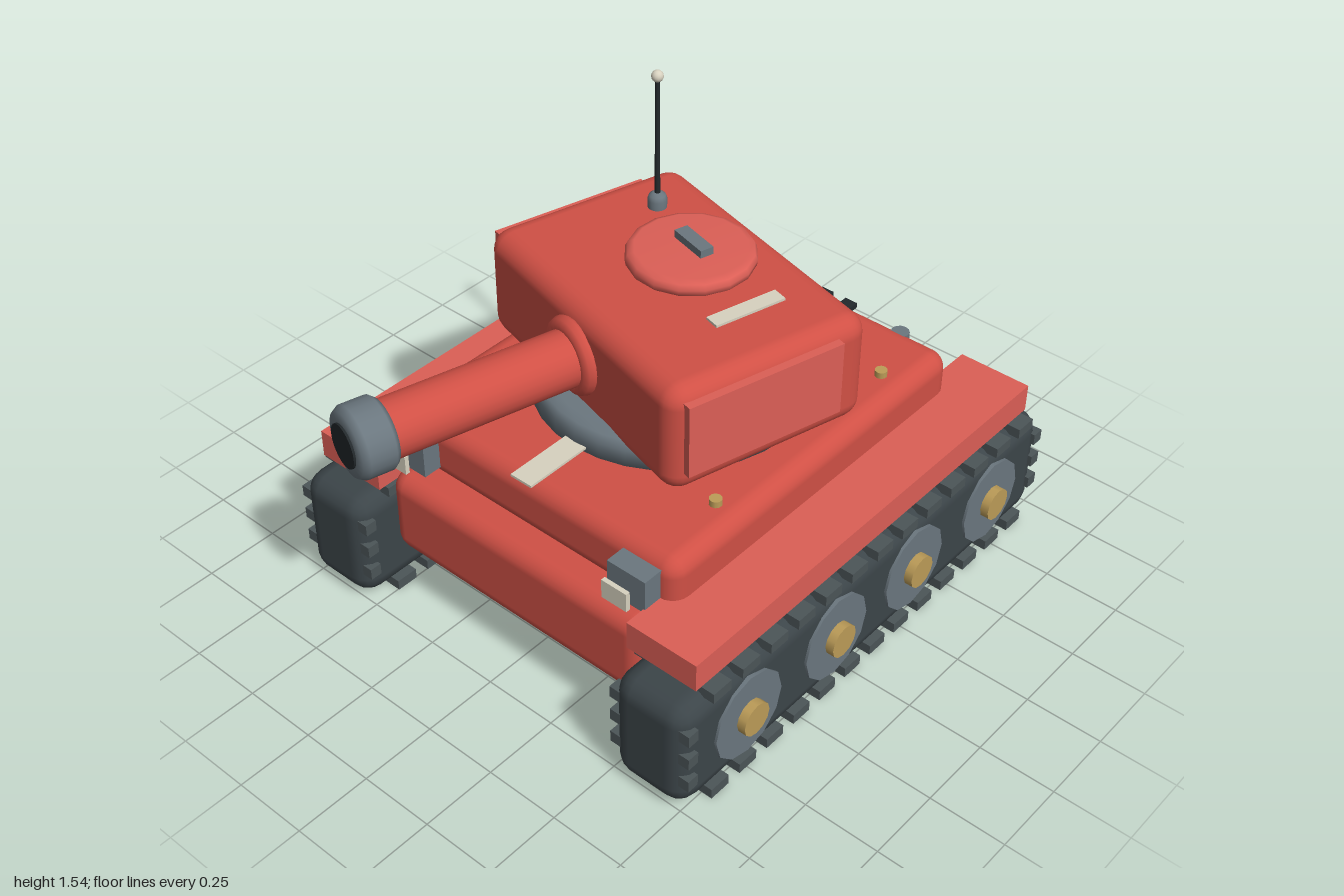
import * as THREE from 'three';
import { RoundedBoxGeometry } from 'three/addons/geometries/RoundedBoxGeometry.js';

const paint = (color) => new THREE.MeshStandardMaterial({ color });
const RED = paint(0xd05045), LIGHT_RED = paint(0xdc5f56), STEEL = paint(0x6b777f);
const TRACK = paint(0x3c4549), PAD = paint(0x4c5558), DARK = paint(0x23292c);
const GOLD = paint(0xbc9c58), CREAM = paint(0xd8d2c0);

function add(parent, name, geometry, material, x = 0, y = 0, z = 0) {
  const mesh = new THREE.Mesh(geometry, material);
  mesh.name = name;
  mesh.position.set(x, y, z);
  parent.add(mesh);
  return mesh;
}

const box = (w, h, d) => new THREE.BoxGeometry(w, h, d);
const rounded = (w, h, d, r) => new RoundedBoxGeometry(w, h, d, 3, r);
const cylinder = (r, h, n = 16, top = r) => new THREE.CylinderGeometry(top, r, h, n);
const lathe = (points, n) =>
  new THREE.LatheGeometry(points.map(([r, y]) => new THREE.Vector2(r, y)), n);

// One running gear unit; side is +1 for the left, -1 for the right
function buildTrack(side) {
  const track = new THREE.Group();
  track.name = side > 0 ? 'leftTrack' : 'rightTrack';
  const midX = side * 0.642, midZ = -0.11;

  add(track, 'trackBody', new RoundedBoxGeometry(0.27, 0.385, 1.77, 2, 0.07), TRACK, midX, 0.21, midZ);

  // Tread pads along the top and bottom runs
  for (let i = 0; i < 13; i++) {
    const z = 0.62 - i * 0.1245;
    add(track, 'topPad', box(0.29, 0.035, 0.075), PAD, midX, 0.403, z);
    add(track, 'bottomPad', box(0.29, 0.035, 0.075), PAD, midX, 0.0175, z);
  }
  // Tread pads set into both ends
  for (const z of [0.74, -0.96])
    for (const y of [0.135, 0.225, 0.315])
      add(track, 'endPad', box(0.29, 0.04, 0.04), PAD, midX, y, z);

  // Road wheels with hubs
  for (const z of [0.495, 0.09, -0.3, -0.71]) {
    add(track, 'wheel', cylinder(0.145, 0.05, 12), STEEL, side * 0.76, 0.21, z).rotation.z = Math.PI / 2;
    add(track, 'hub', cylinder(0.055, 0.06, 12), GOLD, side * 0.783, 0.21, z).rotation.z = Math.PI / 2;
  }

  add(track, 'fender', box(0.25, 0.095, 1.61), LIGHT_RED, side * 0.625, 0.482, -0.115);
  return track;
}

function buildHull() {
  const hull = new THREE.Group();
  hull.name = 'hull';
  add(hull, 'lowerHull', rounded(1.02, 0.295, 1.53, 0.06), RED, 0, 0.327, -0.115);
  add(hull, 'upperHull', rounded(1.12, 0.2, 1.315, 0.06), RED, 0, 0.567, -0.1);

  for (const side of [-1, 1]) {
    add(hull, 'headlight', box(0.14, 0.115, 0.08), STEEL, side * 0.436, 0.573, 0.58);
    add(hull, 'headlightLens', box(0.092, 0.065, 0.015), CREAM, side * 0.437, 0.577, 0.664);
    add(hull, 'rearBracket', cylinder(0.03, 0.15, 12), STEEL, side * 0.375, 0.585, -0.74);
    for (const z of [-0.51, 0.275])
      add(hull, 'rivet', cylinder(0.02, 0.022, 10), GOLD, side * 0.467, 0.677, z);
  }

  // Engine vent slats
  for (let i = -2; i <= 2; i++)
    add(hull, 'ventSlat', box(0.045, 0.018, 0.24), DARK, i * 0.0925, 0.683, -0.615);

  add(hull, 'deckStripe', box(0.08, 0.008, 0.31), CREAM, 0, 0.683, 0.425);

  // Turret ring with a softened upper edge
  add(hull, 'turretRing', lathe([[0, 0], [0.435, 0], [0.435, 0.06], [0.42, 0.085], [0.39, 0.095], [0, 0.095]], 32),
    STEEL, 0, 0.663, -0.08);
  return hull;
}

// Turret, built facing +z and then turned
function buildTurret() {
  const turret = new THREE.Group();
  turret.name = 'turret';
  turret.position.z = -0.08;
  turret.rotation.y = -Math.PI / 12;

  add(turret, 'turretBody', rounded(1.0, 0.365, 0.69, 0.065), RED, 0, 0.885, 0);
  for (const side of [-1, 1])
    add(turret, 'sidePanel', box(0.03, 0.245, 0.53), LIGHT_RED, side * 0.506, 0.905, 0.035);

  // Gun
  const gun = new THREE.Group();
  gun.name = 'gun';
  gun.position.y = 0.903;
  gun.rotation.x = Math.PI / 2;
  turret.add(gun);
  add(gun, 'barrel', cylinder(0.09, 0.72, 24), RED, 0, 0.66, 0);
  add(gun, 'mantletRing', new THREE.TorusGeometry(0.095, 0.03, 10, 24), RED, 0, 0.35, 0).rotation.x = Math.PI / 2;
  add(gun, 'muzzle', lathe([[0.08, 0], [0.1, 0], [0.112, 0.015], [0.112, 0.095], [0.1, 0.115], [0.07, 0.12], [0, 0.12]], 24),
    STEEL, 0, 0.965, 0);
  add(gun, 'bore', cylinder(0.068, 0.03, 24), DARK, 0, 1.077, 0);

  // Hatch with handle
  add(turret, 'hatch', lathe([[0, 0], [0.18, 0], [0.195, 0.012], [0.198, 0.03], [0.19, 0.046], [0.17, 0.055], [0, 0.055]], 16),
    LIGHT_RED, 0, 1.075, -0.063);
  add(turret, 'hatchHandle', box(0.135, 0.03, 0.045), STEEL, 0.003, 1.14, -0.07);

  add(turret, 'roofStripe', box(0.05, 0.008, 0.24), CREAM, 0.293, 1.085, -0.05);

  // Antenna
  const antenna = new THREE.Group();
  antenna.name = 'antenna';
  antenna.position.set(-0.31, 1.06, -0.152);
  turret.add(antenna);
  add(antenna, 'antennaBase', lathe([[0.03, 0], [0.031, 0.035], [0.026, 0.05], [0.014, 0.058], [0, 0.058]], 16), STEEL);
  add(antenna, 'antennaRod', cylinder(0.009, 0.42, 8, 0.007), DARK, 0, 0.25, 0);
  add(antenna, 'antennaTip', new THREE.SphereGeometry(0.019, 14, 10), CREAM, 0, 0.459, 0);
  return turret;
}

export function createModel() {
  const tank = new THREE.Group();
  tank.name = 'tank';
  tank.add(buildTrack(1), buildTrack(-1), buildHull(), buildTurret());
  return tank;
}
